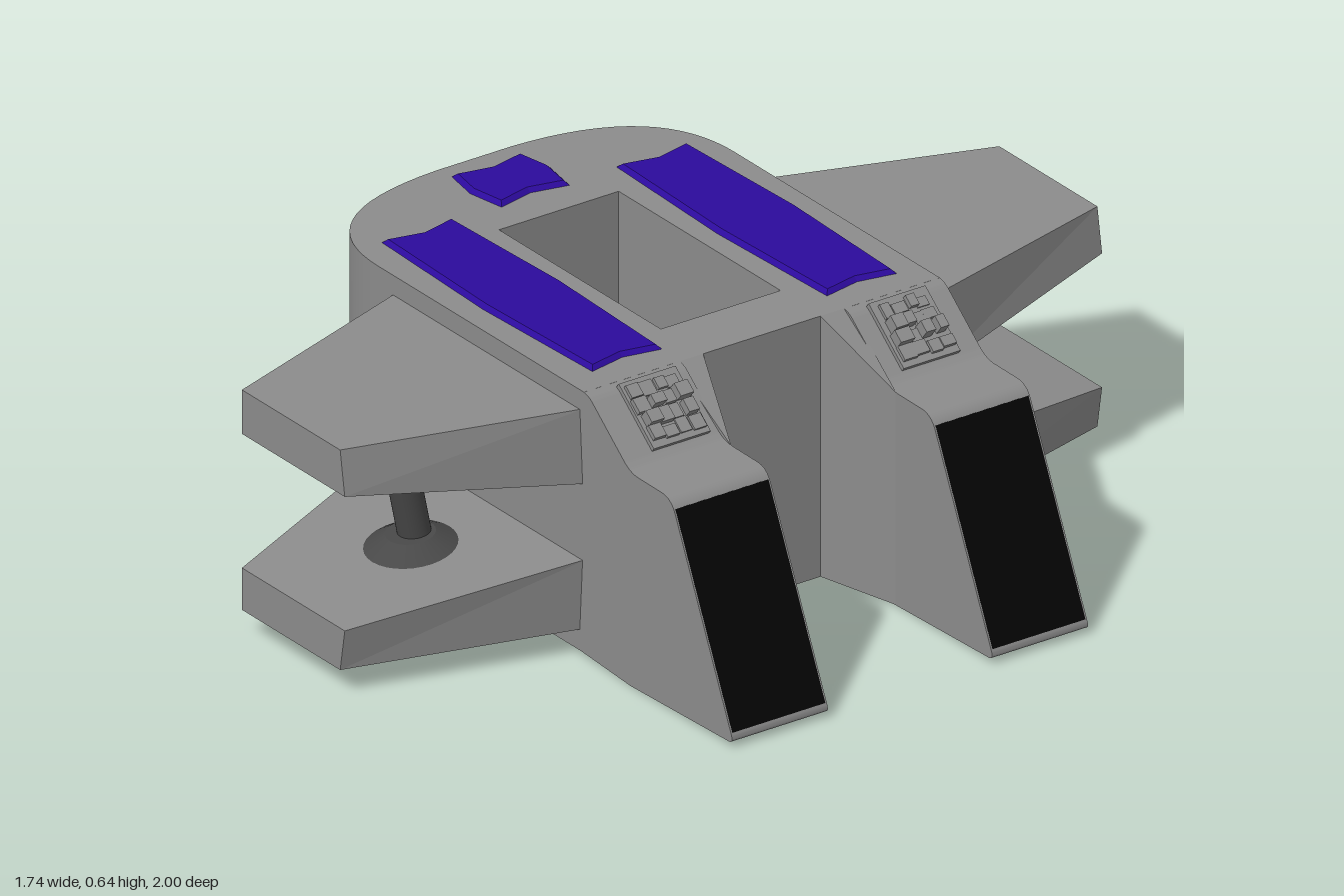
import * as THREE from 'three';
import { toCreasedNormals } from 'three/addons/utils/BufferGeometryUtils.js';

const material = (color) => new THREE.MeshStandardMaterial({ color });
const grey = material(0x8b8b8b);
const steel = material(0x484848);
const purple = material(0x2c0a9c);
const black = material(0x040404);
const dark = material(0x3a3a3a);

function add(parent, name, geometry, mat = grey) {
  const mesh = new THREE.Mesh(geometry, mat);
  mesh.name = name;
  parent.add(mesh);
  return mesh;
}

// Closed shape through [x, y, cornerRadius] points
function roundedShape(points) {
  const shape = new THREE.Shape();
  points.forEach(([x, y, r = 0], i) => {
    const p = new THREE.Vector2(x, y);
    const prev = new THREE.Vector2(...points.at(i - 1));
    const next = new THREE.Vector2(...points[(i + 1) % points.length]);
    const a = p.clone().add(prev.sub(p).setLength(r));
    const b = p.clone().add(next.sub(p).setLength(r));
    if (i === 0) shape.moveTo(a.x, a.y);
    else shape.lineTo(a.x, a.y);
    if (r) shape.quadraticCurveTo(x, y, b.x, b.y);
  });
  shape.closePath();
  return shape;
}

// Extrude along z
const extrude = (shape, depth, curveSegments = 8) =>
  toCreasedNormals(new THREE.ExtrudeGeometry(shape, { depth, bevelEnabled: false, curveSegments }), 0.5);

// Thin roof panel with sloping rim, drawn in plan
const panelGeometry = (points) => new THREE.ExtrudeGeometry(roundedShape(points), {
  depth: 0.001, bevelThickness: 0.01, bevelSize: 0.01, bevelOffset: -0.01, bevelSegments: 1,
}).rotateX(-Math.PI / 2).translate(0, 0.636, 0);

// Cylinder or cone frustum between two points
function rod(parent, name, from, to, r0, r1 = r0) {
  const a = new THREE.Vector3(...from), b = new THREE.Vector3(...to);
  const dir = b.clone().sub(a);
  const mesh = add(parent, name, new THREE.CylinderGeometry(r1, r0, dir.length(), 32), steel);
  mesh.position.copy(a).addScaledVector(dir, 0.5);
  mesh.quaternion.setFromUnitVectors(new THREE.Vector3(0, 1, 0), dir.normalize());
}

// Skin over rectangular rings [x, halfZ, yLow, yHigh]
function loft(rings) {
  const corners = ([x, z, y0, y1]) => [[x, y0, -z], [x, y0, z], [x, y1, z], [x, y1, -z]];
  const out = [];
  for (let k = 0; k + 1 < rings.length; k++) {
    const a = corners(rings[k]), b = corners(rings[k + 1]);
    for (let i = 0; i < 4; i++) {
      const j = (i + 1) % 4;
      out.push(...a[i], ...a[j], ...b[j], ...a[i], ...b[j], ...b[i]);
    }
  }
  const g = new THREE.BufferGeometry();
  g.setAttribute('position', new THREE.Float32BufferAttribute(out, 3));
  g.computeVertexNormals();
  return g;
}

// Tapered wing: the outer face is flat, the inner face slopes towards it at the tip
function wingGeometry(side, yOuter, yRoot, yTip) {
  const g = new THREE.BoxGeometry(1, 1, 1).toNonIndexed();
  const p = g.attributes.position;
  const up = Math.sign(yOuter - yRoot);
  for (let i = 0; i < p.count; i++) {
    const tip = p.getZ(i) * side > 0;
    const outer = p.getY(i) * up > 0;
    const left = tip ? (outer ? 0.173 : 0.19) : (outer ? 0.318 : 0.328);
    const right = tip ? -0.185 : -0.369;
    p.setXYZ(i, p.getX(i) > 0 ? left : right,
      outer ? yOuter : tip ? yTip : yRoot, side * (tip ? 1 : 0.46));
  }
  g.computeVertexNormals();
  return g;
}

function seeded(seed) {
  return () => (seed = (seed * 16807) % 2147483647) / 2147483647;
}

export function createModel() {
  const model = new THREE.Group();

  // Hull with rounded rear and a rectangular well
  const plan = new THREE.Shape();
  plan.moveTo(0.33, -0.47);
  plan.lineTo(0.33, 0.47);
  plan.lineTo(-0.42, 0.47);
  plan.bezierCurveTo(-0.6, 0.47, -0.71, 0.36, -0.72, 0.1);
  plan.lineTo(-0.72, -0.1);
  plan.bezierCurveTo(-0.71, -0.36, -0.6, -0.47, -0.42, -0.47);
  plan.closePath();
  plan.holes.push(roundedShape([[-0.41, -0.158], [-0.41, 0.158], [0.18, 0.158], [0.18, -0.158]]));
  add(model, 'hull', extrude(plan, 0.622, 16).rotateX(-Math.PI / 2).translate(0, 0.015, 0));

  // Crossbar in the well, with conical mounts
  rod(model, 'crossbar', [-0.41, 0.33, 0], [0.18, 0.33, 0], 0.037);
  rod(model, 'crossbarMount', [-0.41, 0.33, 0], [-0.36, 0.33, 0], 0.112, 0.055);
  rod(model, 'crossbarMount', [0.18, 0.33, 0], [0.13, 0.33, 0], 0.112, 0.055);

  // Rear nozzle with recessed window and raised lips
  add(model, 'rearNozzle', loft([
    [-0.66, 0.265, 0.11, 0.54], [-0.71, 0.253, 0.12, 0.53], [-0.858, 0.21, 0.155, 0.495],
    [-0.858, 0.18, 0.185, 0.465], [-0.82, 0.165, 0.2, 0.45],
  ]), new THREE.MeshStandardMaterial({ color: 0x8b8b8b, side: THREE.DoubleSide }));
  add(model, 'rearWindow', new THREE.BoxGeometry(0.02, 0.27, 0.35).translate(-0.81, 0.325, 0), dark);
  for (const y of [0.168, 0.482]) {
    add(model, 'nozzleLip', new THREE.BoxGeometry(0.02, 0.026, 0.41).translate(-0.857, y, 0));
  }

  // Roof panels with notched ends
  for (const z of [-0.315, 0.305]) {
    add(model, 'roofPanel', panelGeometry([[-0.507, -0.092], [-0.12, -0.106], [0.26, -0.092], [0.242, 0],
      [0.26, 0.092], [-0.12, 0.106], [-0.507, 0.092], [-0.487, 0]]).translate(0, 0, z), purple);
  }
  add(model, 'rearRoofPanel', panelGeometry([[-0.676, -0.09], [-0.587, -0.106], [-0.495, -0.09], [-0.515, 0],
    [-0.495, 0.09], [-0.587, 0.106], [-0.676, 0.09], [-0.657, 0]]), purple);

  const profile = roundedShape([[0.32, 0.015], [0.5, 0.004], [0.876, 0.016, 0.02], [0.648, 0.511, 0.035],
    [0.5, 0.512, 0.03], [0.345, 0.637, 0.02], [0.32, 0.637]]);

  for (const side of [1, -1]) {
    const name = side > 0 ? 'left' : 'right';

    // Forward prong with dark front panel
    add(model, name + 'Prong', extrude(profile, 0.253).translate(0, 0, side * 0.3435 - 0.1265));
    const panel = add(model, name + 'ProngPanel', new THREE.BoxGeometry(0.496, 0.006, 0.245), black);
    panel.position.set(0.76, 0.262, side * 0.3435);
    panel.rotation.z = Math.atan2(-0.495, 0.228);

    // Inner wedge joining the prong to the hull
    const corners = [[0.33, -side * 0.155], [0.52, -side * 0.218], [0.33, -side * 0.23]];
    const wedge = new THREE.ExtrudeGeometry(roundedShape(corners), { depth: 0.622, bevelEnabled: false })
      .rotateX(-Math.PI / 2).translate(0, 0.015, 0);
    const p = wedge.attributes.position;
    for (let i = 0; i < p.count; i++) {
      if (p.getX(i) > 0.4) p.setY(i, p.getY(i) > 0.3 ? 0.511 : 0.005);
    }
    wedge.computeVertexNormals();
    add(model, name + 'ProngWedge', wedge);

    // Machinery blocks on the prong's slope
    const blocks = new THREE.Group();
    blocks.name = name + 'Machinery';
    blocks.position.set(0.41, 0.583, side > 0 ? 0.32 : -0.34);
    blocks.rotation.z = Math.atan2(-0.125, 0.155);
    add(blocks, 'basePlate', new THREE.BoxGeometry(0.165, 0.024, 0.15));
    const random = seeded(side > 0 ? 71 : 137);
    for (let i = 0; i < 4; i++) {
      for (let j = 0; j < 4; j++) {
        const h = 0.016 + random() * (i === 1 || i === 2 ? 0.028 : 0.008);
        const block = add(blocks, 'block', new THREE.BoxGeometry(0.022 + random() * 0.014, h, 0.022 + random() * 0.016));
        block.position.set((i - 1.5) * 0.035 + (random() - 0.5) * 0.01, h / 2, (j - 1.5) * 0.033 + (random() - 0.5) * 0.01);
      }
    }
    model.add(blocks);

    // Paired wings, strut and conical mounts
    add(model, name + 'UpperWing', wingGeometry(side, 0.59, 0.415, 0.485));
    add(model, name + 'LowerWing', wingGeometry(side, 0.065, 0.235, 0.165));
    rod(model, name + 'Strut', [0, 0.2, side * 0.672], [0, 0.455, side * 0.725], 0.037);
    rod(model, name + 'UpperMount', [0, 0.455, side * 0.71], [0, 0.42, side * 0.714], 0.112, 0.055);
    rod(model, name + 'LowerMount', [0, 0.2, side * 0.685], [0, 0.235, side * 0.689], 0.112, 0.055);
  }

  return model;
}
